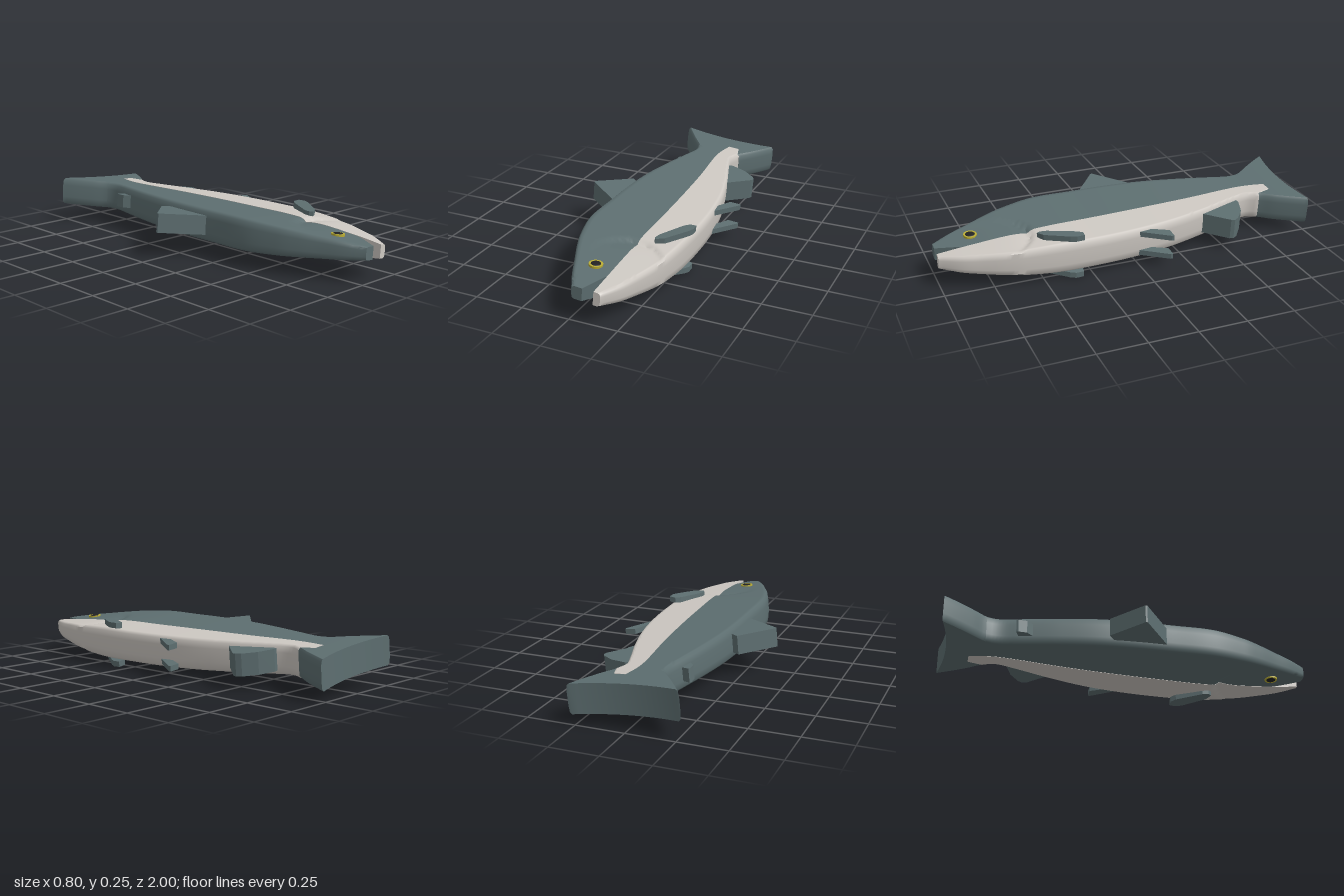
import * as THREE from 'three';
import { toCreasedNormals } from 'three/addons/utils/BufferGeometryUtils.js';

const DARK = new THREE.MeshStandardMaterial({ color: 0x5d6e70 });
const LIGHT = new THREE.MeshStandardMaterial({ color: 0xcdc8c2 });
const YELLOW = new THREE.MeshStandardMaterial({ color: 0xb8ab35 });
const BLACK = new THREE.MeshStandardMaterial({ color: 0x222222 });

// Stations along the fish: z, back edge, belly edge, half thickness, colour line
const STATIONS = [
  [1.00, 0.02, 0.165, 0.033, 0.13], [0.9, -0.035, 0.22, 0.045, 0.13],
  [0.8, -0.08, 0.255, 0.054, 0.128], [0.7, -0.125, 0.285, 0.063, 0.126],
  [0.6, -0.162, 0.305, 0.071, 0.123], [0.42, -0.203, 0.32, 0.08, 0.118],
  [0.2, -0.207, 0.32, 0.08, 0.11], [0, -0.207, 0.306, 0.08, 0.1],
  [-0.2, -0.195, 0.275, 0.079, 0.087], [-0.4, -0.165, 0.222, 0.077, 0.07],
  [-0.6, -0.125, 0.155, 0.075, 0.047], [-0.7, -0.106, 0.13, 0.074, 0.04],
  [-0.77, -0.117, 0.152, 0.074, 0.044], [-0.85, -0.168, 0.2, 0.075, 0.056],
  [-1.00, -0.272, 0.285, 0.075, 0.06],
];

// Smooth lookup of one column at z
function at(col, z) {
  const S = STATIONS, last = S.length - 1;
  let i = 0;
  while (i < last - 1 && z < S[i + 1][0]) i++;
  const slope = (k) => {
    const p = S[Math.max(k - 1, 0)], q = S[Math.min(k + 1, last)];
    return (q[col] - p[col]) / (q[0] - p[0]);
  };
  const h = S[i + 1][0] - S[i][0], t = (z - S[i][0]) / h;
  const t2 = t * t, t3 = t2 * t;
  return (2 * t3 - 3 * t2 + 1) * S[i][col] + (t3 - 2 * t2 + t) * h * slope(i)
    + (3 * t2 - 2 * t3) * S[i + 1][col] + (t3 - t2) * h * slope(i + 1);
}

// Hollow in front of the curved gill edge
function gill(x, z) {
  if (x < -0.05 || x > 0.31) return 0;
  const s = (x - 0.13) / 0.16;
  const d = z - (0.53 + 0.09 * s * s);
  const fade = Math.max(0, 1 - s * s * 0.75);
  return 0.02 * fade * (d > 0 ? Math.exp(-d / 0.06) : Math.exp(d / 0.008));
}

// Closed loft between two edge functions; outer edges are softened
function loft(z0, z1, rows, left, right, { roundL, roundR, grow = 0, shape }) {
  const cols = 16, pos = [], idx = [];
  let ring = 0;
  for (let i = 0; i <= rows; i++) {
    const z = z0 + (z1 - z0) * i / rows;
    const a = left(z), b = right(z), t = at(3, z) + grow;
    const top = [];
    if (roundL) top.push([a, t * 0.45], [a + 0.003, t * 0.85]);
    for (let j = 0; j <= cols; j++) {
      const lo = a + (roundL ? 0.014 : 0), hi = b - (roundR ? 0.014 : 0);
      const x = lo + (hi - lo) * j / cols;
      top.push([x, t - gill(x, z)]);
    }
    if (roundR) top.push([b - 0.003, t * 0.85], [b, t * 0.45]);
    const loop = [...top, ...top.slice().reverse().map(([x, v]) => [x, -v])];
    ring = loop.length;
    for (const [x, v] of loop) pos.push(x, v, shape ? shape(x, z) : z);
  }
  for (let i = 0; i < rows; i++) for (let j = 0; j < ring; j++) {
    const k = (j + 1) % ring, a = i * ring + j, b = i * ring + k;
    idx.push(a, b, a + ring, b, b + ring, a + ring);
  }
  // End caps join each top point to the one beneath it
  const end = rows * ring;
  for (let j = 0; j < ring / 2 - 1; j++) {
    const k = ring - 1 - j;
    idx.push(j, k, j + 1, j + 1, k, k - 1);
    idx.push(end + j, end + j + 1, end + k, end + j + 1, end + k - 1, end + k);
  }
  const g = new THREE.BufferGeometry();
  g.setAttribute('position', new THREE.Float32BufferAttribute(pos, 3));
  g.setIndex(idx);
  return toCreasedNormals(g, 0.85);
}

// Flat fin from an outline of [x, z] points, centred on height v
function fin(points, half, v = 0, slope = 0) {
  const shape = new THREE.Shape(points.map(([x, z]) => new THREE.Vector2(x, z)));
  const g = new THREE.ExtrudeGeometry(shape, { depth: half * 2, bevelEnabled: false });
  g.translate(0, 0, -half).rotateX(Math.PI / 2);
  const p = g.attributes.position;
  for (let i = 0; i < p.count; i++) p.setY(i, p.getY(i) + v + slope * (p.getX(i) - 0.26));
  g.computeVertexNormals();
  return g;
}

export function createModel() {
  const fish = new THREE.Group();
  fish.name = 'fish';
  const add = (name, geometry, material) => {
    const mesh = new THREE.Mesh(geometry, material);
    mesh.name = name;
    fish.add(mesh);
    return mesh;
  };

  // Dark back and upper jaw, with the mouth cut open at the front
  const back = (z) => at(1, z), belly = (z) => at(2, z), line = (z) => at(4, z);
  const mouth = (z) => line(z) - Math.max(0, z - 0.86) / 0.14 * 0.057;
  add('backAndHead', loft(1, -0.78, 96, back, mouth, { roundL: true }), DARK);

  // Pale belly and lower jaw, ending in a patch on the tail root
  const paleEdge = (z) => (z > -0.77 ? belly(z) : 0.152 + (z + 0.77) * 0.3);
  add('bellyAndJaw', loft(1, -0.845, 96, line, paleEdge, { roundR: true, grow: 0.0015 }), LIGHT);

  // Tail with a hollow rear edge
  const sweep = (x, z) => {
    const k = (-0.77 - z) / 0.23, rear = -0.965 - 0.033 * Math.min(1, (x / 0.27) ** 2);
    return -0.77 + (rear + 0.77) * k;
  };
  add('tailFin', loft(-0.77, -1, 14, back, belly, { roundL: true, roundR: true, shape: sweep }), DARK);

  // Single fins along the back and belly
  add('dorsalFin', fin([[-0.4, 0.005], [-0.4, -0.005], [-0.24, -0.155], [-0.18, -0.11], [-0.18, 0.175]], 0.05), DARK);
  add('adiposeFin', fin([[-0.168, -0.615], [-0.162, -0.625], [-0.1, -0.6], [-0.1, -0.49], [-0.165, -0.57]], 0.035), DARK);
  add('analFin', fin([[0.12, -0.63], [0.165, -0.635], [0.25, -0.605], [0.315, -0.555], [0.33, -0.53],
    [0.325, -0.51], [0.22, -0.395], [0.17, -0.42]], 0.056), DARK);

  // Paired fins and eyes on both flanks
  for (const s of [1, -1]) {
    const side = s > 0 ? 'upper' : 'lower';
    add(side + 'PelvicFin', fin([[0.27, 0.015], [0.3, 0.005], [0.33, 0.15 - 0.01 * 14], [0.392, -0.14],
      [0.392, -0.152], [0.335, -0.152], [0.27, -0.02]].filter((p, i) => i !== 2), 0.014, s * 0.054), DARK);
    add(side + 'PectoralFin', fin([[0.19, 0.495], [0.2, 0.512], [0.24, 0.49], [0.315, 0.375], [0.327, 0.345],
      [0.325, 0.305], [0.29, 0.3], [0.265, 0.325], [0.195, 0.46]], 0.015, s * 0.096, s * 0.15), DARK);

    const rim = add(side + 'EyeRim', new THREE.CylinderGeometry(0.034, 0.034, 0.03, 28), YELLOW);
    rim.position.set(0.04, s * 0.046, 0.81);
    const pupil = add(side + 'Pupil', new THREE.SphereGeometry(0.025, 24, 12), BLACK);
    pupil.scale.y = 0.2;
    pupil.position.set(0.04, s * 0.06, 0.81);
  }

  // The fish lies on its flank, tipped slightly toward the belly
  fish.rotation.z = -0.09;
  fish.position.y = 0.15;
  const model = new THREE.Group();
  model.name = 'lyingFish';
  model.add(fish);
  return model;
}
